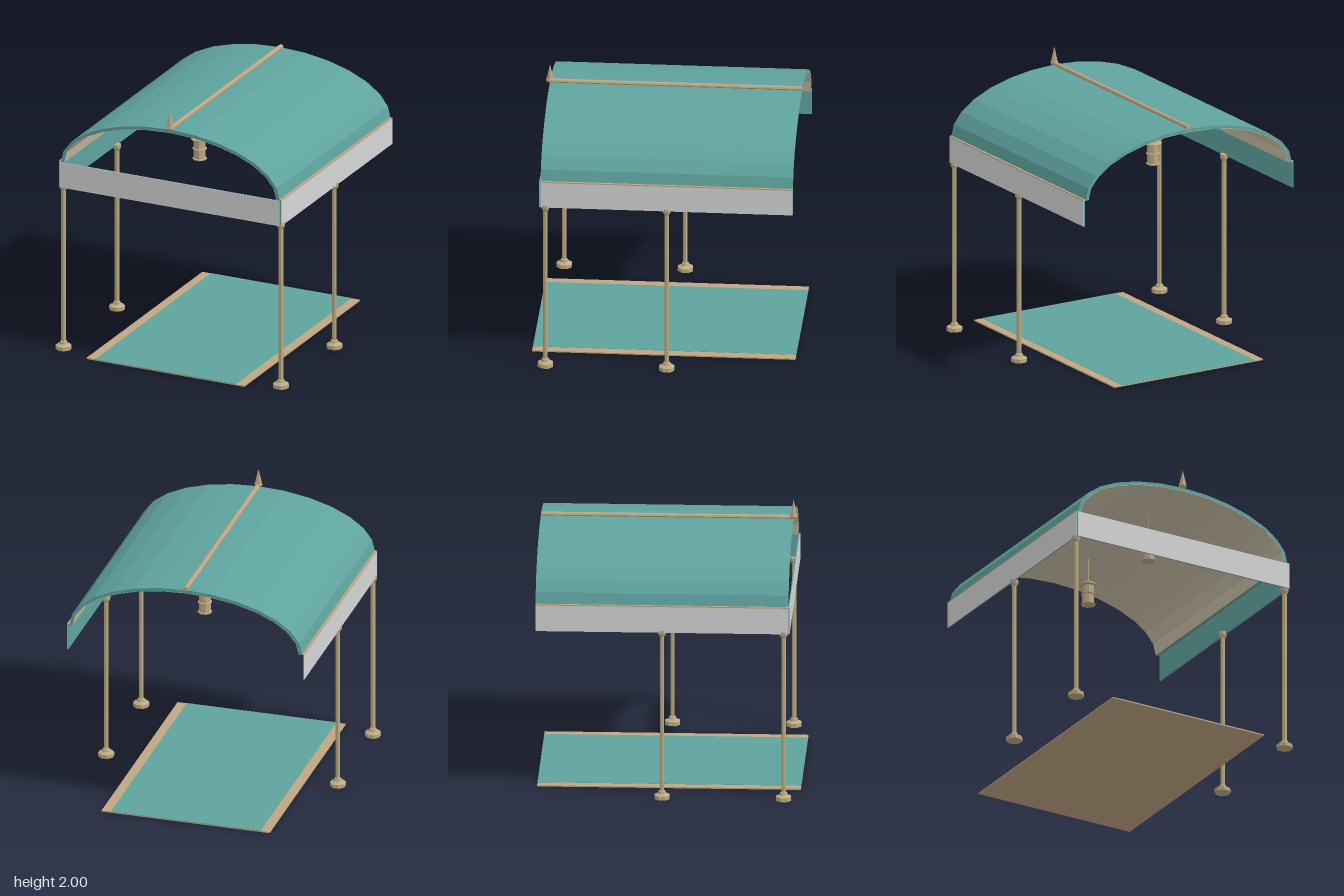
import * as THREE from 'three';

const mat = (name, color, opts = {}) => Object.assign(new THREE.MeshStandardMaterial({ color, ...opts }), { name });

export function createModel() {
  const model = new THREE.Group();
  model.name = 'canopy';
  const teal = mat('teal', 0x5fa39e, { flatShading: true });
  const grey = mat('light grey', 0xd6d6d6, { flatShading: true });
  const lining = mat('lining cream', 0xccc2aa, { flatShading: true });
  const tan = mat('tan', 0xbfa582, { flatShading: true });
  const brass = mat('pale brass', 0xbcaa82, { flatShading: true });

  const add = (name, geometry, material, parent = model) => {
    const mesh = new THREE.Mesh(geometry, material);
    mesh.name = name;
    parent.add(mesh);
    return mesh;
  };
  // box given by its minimum and maximum corners
  const box = (name, a, b, material) => {
    const g = new THREE.BoxGeometry(b[0] - a[0], b[1] - a[1], b[2] - a[2]);
    g.translate((a[0] + b[0]) / 2, (a[1] + b[1]) / 2, (a[2] + b[2]) / 2);
    return add(name, g, material);
  };
  // faceted turning with flats facing the axes
  const turned = (profile, sides = 8) => new THREE.LatheGeometry(
    profile.map(([r, y]) => new THREE.Vector2(r, y)), sides).rotateY(Math.PI / sides);

  const front = 0.875, back = -0.955, eaves = 1.46, hem = 1.265;

  // barrel roof: an extruded half-ellipse shell
  const arc = (rx, ry) => Array.from({ length: 15 }, (_, i) => {
    const t = Math.PI * i / 14;
    return new THREE.Vector2(rx * Math.cos(t), eaves + ry * Math.sin(t));
  });
  const vault = (outer, inner, z0, z1) => new THREE.ExtrudeGeometry(
    new THREE.Shape([...arc(...outer), ...arc(...inner).reverse()]),
    { depth: z1 - z0, bevelEnabled: false }).translate(0, 0, z0);
  add('roof', vault([0.88, 0.4], [0.856, 0.376], back, front), teal);
  add('roofLining', vault([0.857, 0.377], [0.853, 0.373], back + 0.001, front - 0.001), lining);

  // ridge pole and finial
  add('ridgePole', new THREE.CylinderGeometry(0.018, 0.018, front - back, 8)
    .rotateX(Math.PI / 2).translate(0, 1.867, (front + back) / 2), tan);
  add('finial', turned([[0, 1.855], [0.022, 1.86], [0.032, 1.875], [0.026, 1.89], [0, 2]], 6)
    .translate(0, 0, front), tan);

  // valance: teal inside, grey outside, with tan battens along the eaves
  box('frontValance', [-0.885, hem, 0.873], [0.885, eaves, 0.882], teal);
  box('frontValanceFace', [-0.885, hem, 0.882], [0.885, eaves, 0.885], grey);
  for (const s of [1, -1]) {
    const side = (name, x0, x1, y0, y1, m) => box(name,
      [Math.min(s * x0, s * x1), y0, back], [Math.max(s * x0, s * x1), y1, front], m);
    side('sideValance', 0.885, 0.893, hem, eaves, teal);
    side('sideValanceFace', 0.893, 0.896, hem, eaves, grey);
    side('eavesBatten', 0.879, 0.896, eaves, eaves + 0.008, tan);
  }

  // posts with octagonal feet and capitals
  const postGeometry = turned([
    [0, 0], [0.059, 0], [0.059, 0.028], [0.03, 0.042], [0.026, 0.058], [0.017, 0.062],
    [0.017, 1.232], [0.022, 1.236], [0.03, 1.255], [0.03, 1.28], [0, 1.28]]);
  for (const x of [0.875, -0.875]) {
    for (const z of [0.84, -0.04]) add('post', postGeometry, brass).position.set(x, 0, z);
  }

  // hanging lanterns
  const lanternGeometry = turned([
    [0, 1.46], [0.04, 1.46], [0.053, 1.466], [0.053, 1.473], [0.044, 1.476],
    [0.044, 1.54], [0.053, 1.543], [0.053, 1.551], [0.044, 1.554],
    [0.044, 1.612], [0.064, 1.617], [0.064, 1.626], [0.04, 1.632], [0.036, 1.644], [0, 1.65]]);
  const rodGeometry = new THREE.CylinderGeometry(0.004, 0.004, 0.2, 6).translate(0, 1.742, 0);
  for (const z of [0.39, -0.47]) {
    const lantern = new THREE.Group();
    lantern.name = 'lantern';
    lantern.position.z = z;
    add('lanternBody', lanternGeometry, brass, lantern);
    add('lanternRod', rodGeometry, brass, lantern);
    model.add(lantern);
  }

  // floor carpet with plain borders along both sides
  box('carpet', [-0.635, 0, -0.955], [0.635, 0.009, 0.955], tan);
  box('carpetField', [-0.565, 0.009, -0.955], [0.565, 0.011, 0.955], teal);

  return model;
}
